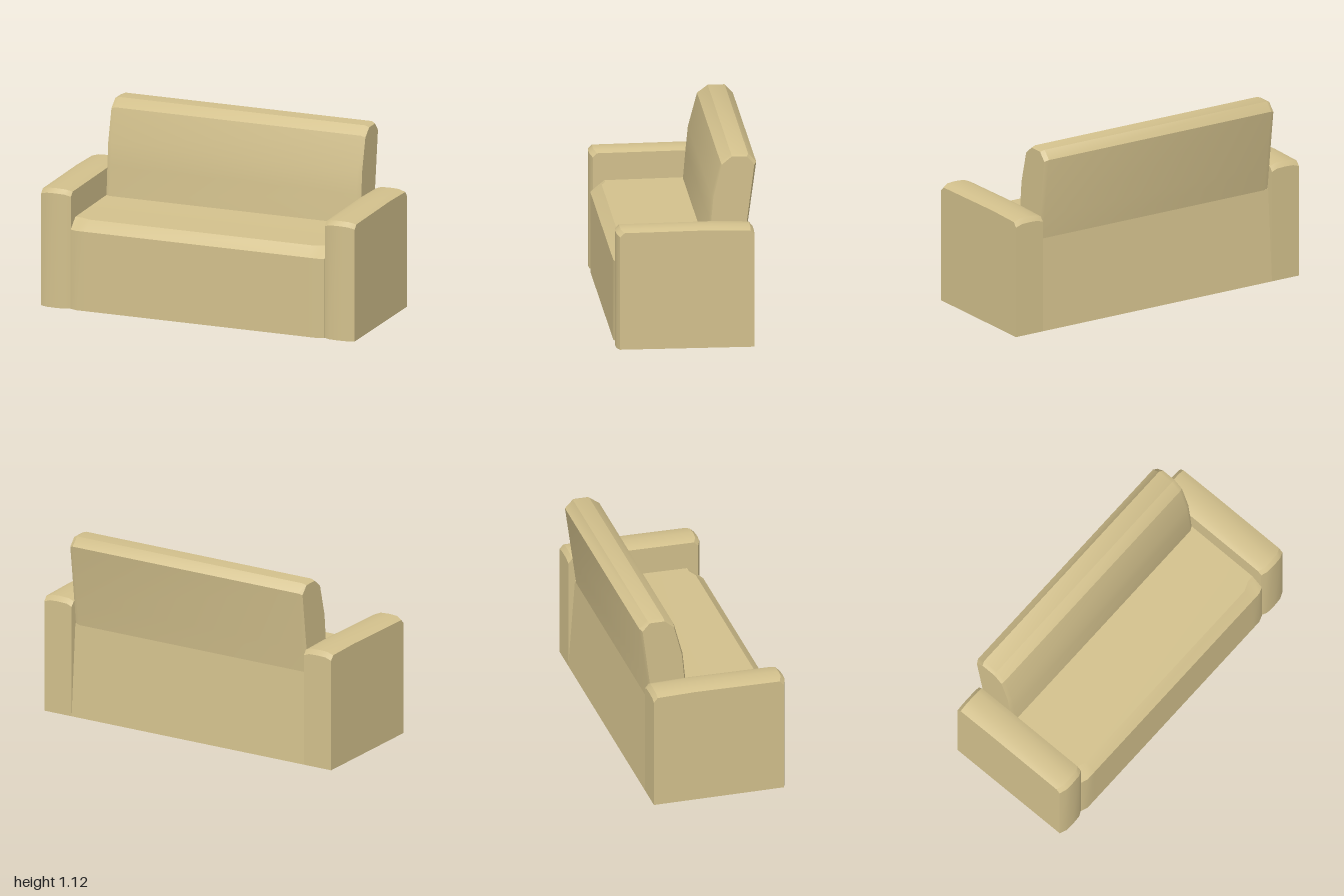
import * as THREE from 'three';
import { toCreasedNormals } from 'three/addons/utils/BufferGeometryUtils.js';

const fabric = new THREE.MeshStandardMaterial({ color: 0xd2c08c });

// Skin closed [z, y] profiles placed at rising x; profiles run front-bottom, over the top, to back-bottom.
function loft(name, xs, profileAt) {
  const positions = [], index = [];
  const n = profileAt(xs[0]).length;
  xs.forEach((x) => profileAt(x).forEach(([z, y]) => positions.push(x, y, z)));
  for (let i = 0; i < xs.length - 1; i++) {
    for (let j = 0; j < n; j++) {
      const a = i * n + j, b = i * n + (j + 1) % n;
      index.push(a, a + n, b + n, a, b + n, b);
    }
  }
  const last = (xs.length - 1) * n;
  for (let j = 1; j < n - 1; j++) {
    index.push(0, j, j + 1, last, last + j + 1, last + j);
  }
  const geometry = new THREE.BufferGeometry();
  geometry.setAttribute('position', new THREE.Float32BufferAttribute(positions, 3));
  geometry.setIndex(index);
  const mesh = new THREE.Mesh(toCreasedNormals(geometry, 0.5), fabric);
  mesh.name = name;
  return mesh;
}

// Armrest: crowned across its width, bevelled at the front and rear of the top
function armrest(name, side) {
  const xs = [0.81, 0.845, 0.905, 0.96, 1].map((x) => x * side).sort((a, b) => a - b);
  const crowns = { 0.81: 0, 0.845: 0.85, 0.905: 1, 0.96: 0.85, 1: 0 };
  return loft(name, xs, (x) => {
    const c = crowns[Math.abs(x)];
    const front = 0.403 + 0.02 * c, top = 0.71 + 0.016 * c;
    return [
      [front, 0], [front, top - 0.025], [front - 0.025, top], [-0.14, top + 0.006],
      [-0.37, top], [-0.393, top - 0.028], [-0.393, 0],
    ];
  });
}

export function createModel() {
  const sofa = new THREE.Group();
  sofa.name = 'sofa';

  // Seat and base in one block, with a sloped front edge and chamfered corners
  sofa.add(loft('seatBase', [-0.81, -0.77, -0.71, 0.71, 0.77, 0.81], (x) => {
    const end = Math.abs(x) > 0.8, near = Math.abs(x) > 0.75;
    const front = end ? 0.408 : 0.422;
    return [
      [front, 0], [front, 0.486], [near ? 0.335 : 0.36, 0.545],
      [-0.13, 0.552], [-0.352, 0.565], [-0.393, 0],
    ];
  }));

  // Leaning backrest with softened ends
  const back = [
    [-0.125, 0.53], [-0.142, 0.73], [-0.156, 0.87], [-0.21, 1.073], [-0.273, 1.12],
    [-0.373, 1.12], [-0.421, 1.07], [-0.372, 0.71], [-0.348, 0.53],
  ];
  const inset = back.map(([z, y]) => [
    -0.27 + (z + 0.27) * 0.91,
    y > 0.9 ? y - 0.01 : y,
  ]);
  sofa.add(loft('backrest', [-0.81, -0.785, 0.785, 0.81],
    (x) => (Math.abs(x) > 0.8 ? inset : back)));

  sofa.add(armrest('leftArmrest', 1), armrest('rightArmrest', -1));
  return sofa;
}
